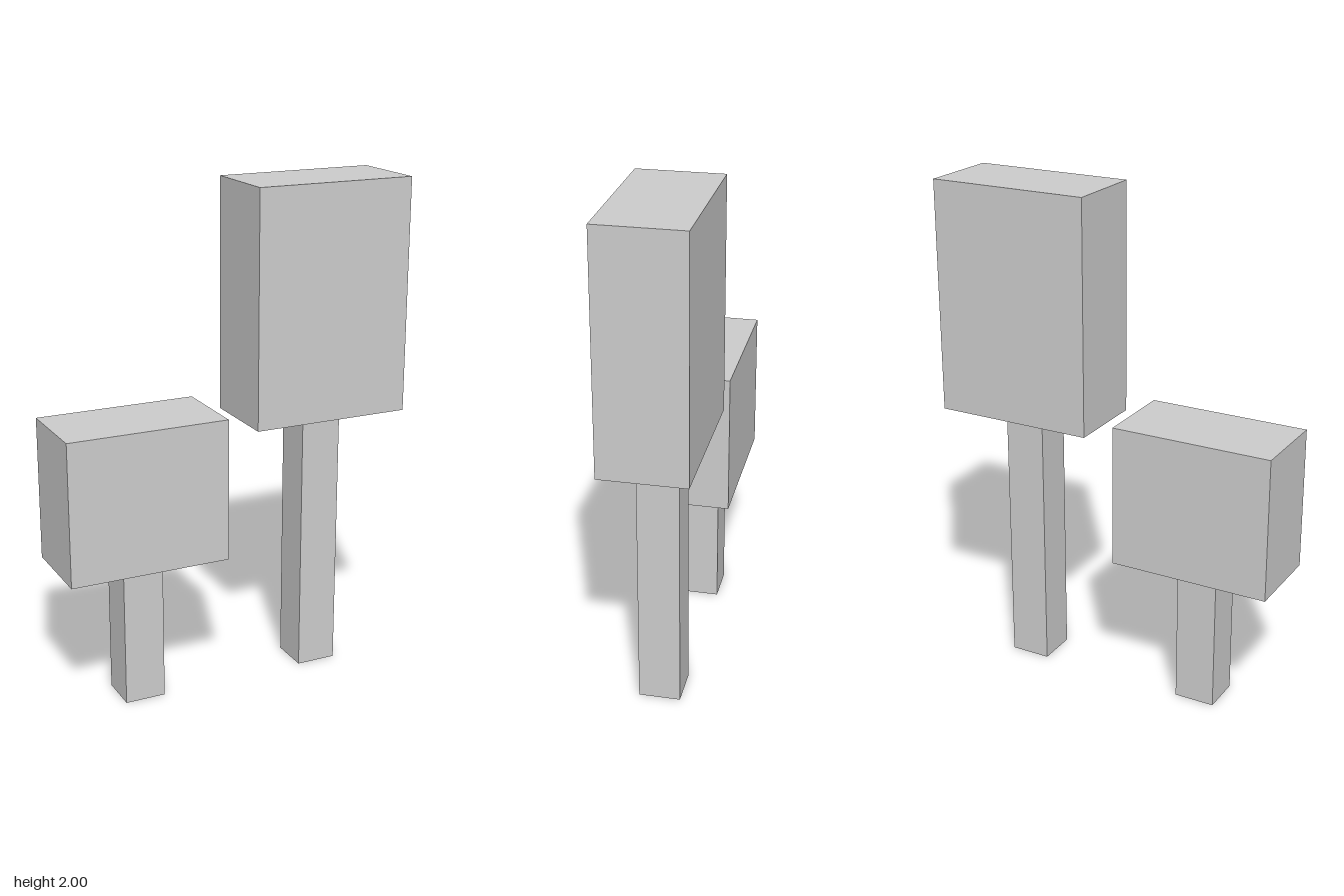
import * as THREE from 'three';

const TRUNK_WIDTH = 0.163;
const CROWN_WIDTH = 0.645;
const CROWN_DEPTH = 0.336;

// Square tube, open at both ends
function squareTube(width, height) {
  const radius = width / Math.SQRT2;
  const tube = new THREE.CylinderGeometry(radius, radius, height, 4, 1, true)
    .rotateY(Math.PI / 4)
    .toNonIndexed();
  tube.computeVertexNormals();
  return tube;
}

// Blocky tree: an open square trunk carrying a box-shaped crown
function createTree(name, x, trunkHeight, totalHeight, material) {
  const tree = new THREE.Group();
  tree.name = name;
  tree.position.x = x;

  const trunk = new THREE.Mesh(squareTube(TRUNK_WIDTH, trunkHeight), material);
  trunk.name = 'trunk';
  trunk.position.y = trunkHeight / 2;

  const crownHeight = totalHeight - trunkHeight;
  const crown = new THREE.Mesh(
    new THREE.BoxGeometry(CROWN_WIDTH, crownHeight, CROWN_DEPTH), material);
  crown.name = 'crown';
  crown.position.y = trunkHeight + crownHeight / 2;

  tree.add(trunk, crown);
  return tree;
}

export function createModel() {
  const model = new THREE.Group();
  model.name = 'blockTrees';
  const grey = new THREE.MeshStandardMaterial({ color: 0xcccccc, side: THREE.DoubleSide });
  grey.name = 'light grey';

  model.add(
    createTree('tallTree', 0.384, 1.075, 2, grey),
    createTree('shortTree', -0.385, 0.572, 1.14, grey),
  );
  return model;
}
